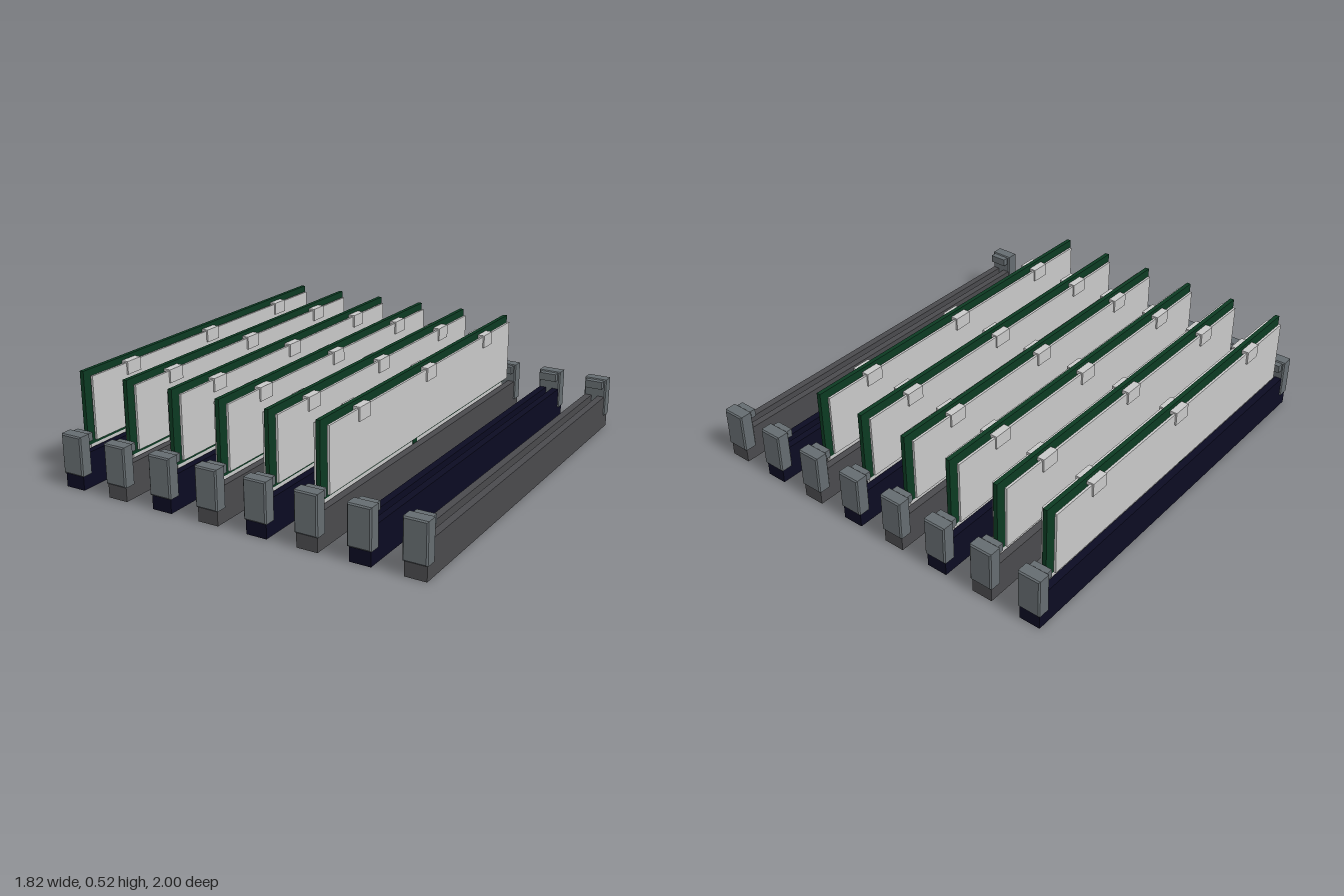
import * as THREE from 'three';

const mat = (name, color) => {
  const m = new THREE.MeshStandardMaterial({ color });
  m.name = name;
  return m;
};

export function createModel() {
  const navy = mat('navyPlastic', 0x0b0b22);
  const grey = mat('greyPlastic', 0x4a4a4d);
  const latchGrey = mat('latchGrey', 0x656c70);
  const green = mat('boardGreen', 0x0c3a22);
  const silver = mat('spreaderSilver', 0xc8c8c8);
  const black = mat('chipBlack', 0x0b0b16);

  // Box given by its centre x, y range and z range
  const box = (parent, name, material, w, x, y0, y1, z0, z1) => {
    const mesh = new THREE.Mesh(new THREE.BoxGeometry(w, y1 - y0, z1 - z0), material);
    mesh.position.set(x, (y0 + y1) / 2, (z0 + z1) / 2);
    mesh.name = name;
    parent.add(mesh);
    return mesh;
  };

  // U-shaped socket section, open at the top
  const section = new THREE.Shape([
    [-0.05, 0], [0.05, 0], [0.05, 0.166], [0.016, 0.166],
    [0.016, 0.1], [-0.016, 0.1], [-0.016, 0.166], [-0.05, 0.166],
  ].map(([x, y]) => new THREE.Vector2(x, y)));
  const socketGeo = new THREE.ExtrudeGeometry(section, { depth: 1.98, bevelEnabled: false });
  socketGeo.translate(0, 0, -0.99);

  // Latch block with chamfered edges
  const c = 0.006, hw = 0.055 - c;
  const face = new THREE.Shape([
    new THREE.Vector2(-hw, 0.068 + c), new THREE.Vector2(hw, 0.068 + c),
    new THREE.Vector2(hw, 0.255 - c), new THREE.Vector2(-hw, 0.255 - c),
  ]);
  const latchGeo = new THREE.ExtrudeGeometry(face, {
    depth: 0.065 - 2 * c, bevelThickness: c, bevelSize: c, bevelSegments: 1,
  });
  latchGeo.translate(0, 0, 0.935 + c);

  const makeSlot = (material) => {
    const slot = new THREE.Group();
    slot.name = 'slot';
    const socket = new THREE.Mesh(socketGeo, material);
    socket.name = 'socket';
    slot.add(socket);
    box(slot, 'contactStrip', navy, 0.032, 0, 0.1, 0.106, -0.91, 0.91);
    for (const turn of [0, Math.PI]) {
      const latch = new THREE.Group();
      latch.name = 'latch';
      latch.rotation.y = turn;
      const block = new THREE.Mesh(latchGeo, latchGrey);
      block.name = 'latchBlock';
      latch.add(block);
      box(latch, 'latchHook', latchGrey, 0.086, 0, 0.212, 0.25, 0.906, 0.94);
      slot.add(latch);
    }
    return slot;
  };

  const makeStick = () => {
    const stick = new THREE.Group();
    stick.name = 'memoryStick';
    box(stick, 'board', green, 0.02, 0, 0.178, 0.525, -0.9, 0.9);
    // Edge contacts on either side of the key
    box(stick, 'contacts', silver, 0.016, 0, 0.11, 0.178, -0.88, 0.07);
    box(stick, 'contacts', silver, 0.016, 0, 0.11, 0.178, 0.11, 0.88);
    box(stick, 'key', green, 0.018, 0, 0.11, 0.178, 0.07, 0.11);

    for (const side of [-1, 1]) {
      box(stick, 'heatSpreader', silver, 0.011, side * 0.031, 0.202, 0.5, -0.872, 0.872);
      // Two rows of chips between board and spreader
      for (let i = 0; i < 8; i++) {
        const z = -0.742 + i * 0.212;
        box(stick, 'chip', black, 0.016, side * 0.018, 0.21, 0.315, z - 0.09, z + 0.09);
        box(stick, 'chip', black, 0.016, side * 0.018, 0.36, 0.465, z - 0.09, z + 0.09);
      }
      // Spring clips: a bridge from the board and a leg over the spreader
      for (const z of [-0.6, 0, 0.6]) {
        box(stick, 'clipBridge', silver, 0.034, side * 0.027, 0.49, 0.507, z - 0.045, z + 0.045);
        box(stick, 'clipLeg', silver, 0.008, side * 0.04, 0.445, 0.507, z - 0.045, z + 0.045);
      }
    }
    return stick;
  };

  // Eight slots in alternating colours, six of them filled
  const model = new THREE.Group();
  model.name = 'memoryBank';
  for (let i = 0; i < 8; i++) {
    const bay = new THREE.Group();
    bay.name = 'bay' + (i + 1);
    bay.position.x = -0.855 + (i * 1.71) / 7;
    bay.add(makeSlot(i % 2 ? grey : navy));
    if (i < 6) bay.add(makeStick());
    model.add(bay);
  }
  return model;
}
